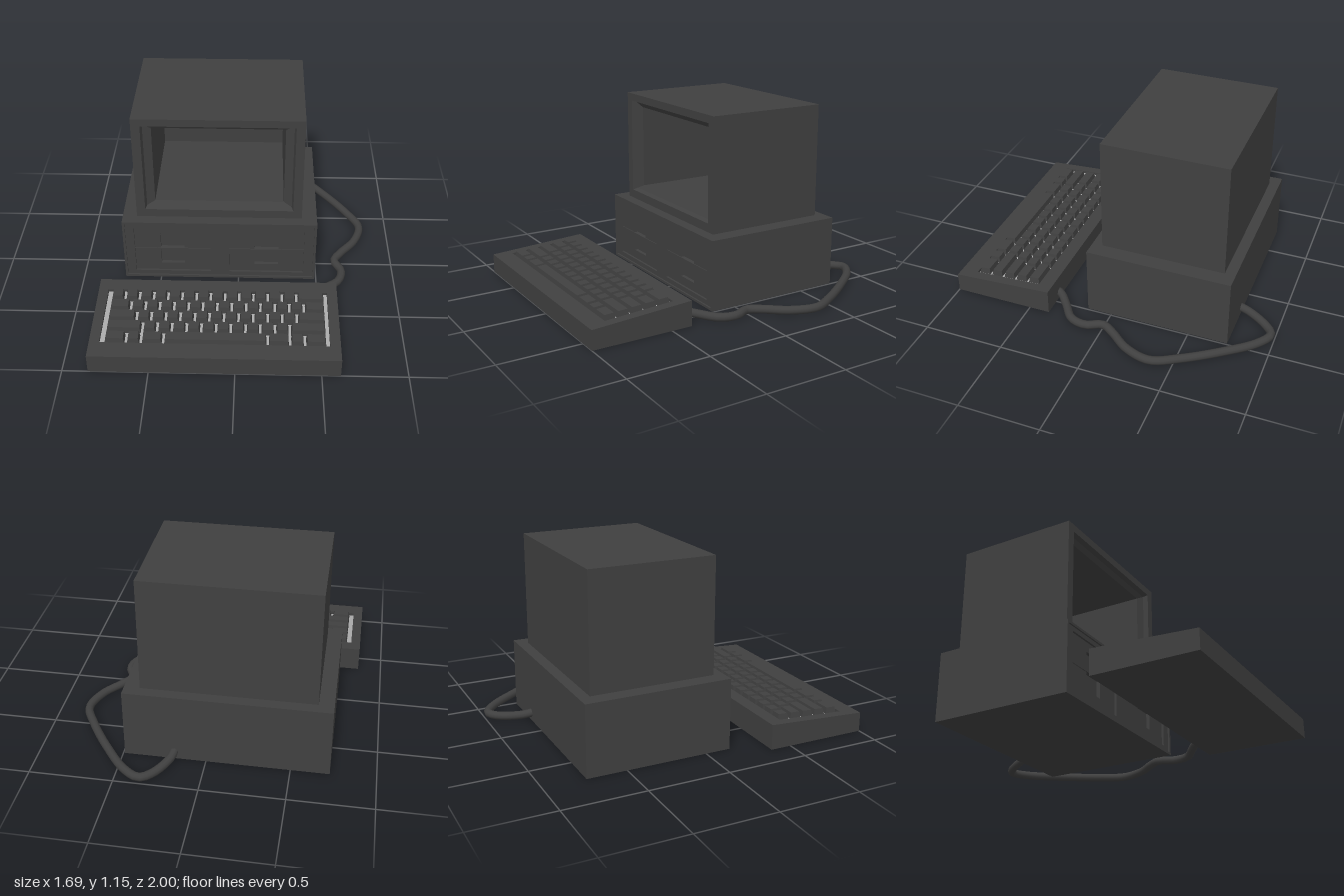
import * as THREE from 'three';

const dark = new THREE.MeshStandardMaterial({ color: 0x404040 });
const light = new THREE.MeshStandardMaterial({ color: 0xaaaaaa });

function add(parent, name, geometry, material = dark) {
  const mesh = new THREE.Mesh(geometry, material);
  mesh.name = name;
  parent.add(mesh);
  return mesh;
}

// Skins a series of four-cornered loops and caps both ends, with flat faces
function loft(loops) {
  const pos = [];
  const quad = (a, b, c, d) => pos.push(...a, ...b, ...c, ...a, ...c, ...d);
  quad(...[...loops[0]].reverse());
  for (let k = 0; k + 1 < loops.length; k++) {
    for (let i = 0; i < 4; i++) {
      const j = (i + 1) % 4;
      quad(loops[k][i], loops[k][j], loops[k + 1][j], loops[k + 1][i]);
    }
  }
  quad(...loops[loops.length - 1]);
  const g = new THREE.BufferGeometry();
  g.setAttribute('position', new THREE.Float32BufferAttribute(pos, 3));
  g.computeVertexNormals();
  return g;
}

// Upright loop facing +z
const wallLoop = (x0, x1, y0, y1, z) => [[x0, y0, z], [x1, y0, z], [x1, y1, z], [x0, y1, z]];

// Flat loop facing +y, with height given by a function of z
const floorLoop = (x0, x1, z0, z1, y) =>
  [[x0, y(z1), z1], [x1, y(z1), z1], [x1, y(z0), z0], [x0, y(z0), z0]];

const rect = (T, x0, x1, y0, y1) => new T([
  new THREE.Vector2(x0, y0), new THREE.Vector2(x1, y0),
  new THREE.Vector2(x1, y1), new THREE.Vector2(x0, y1)]);

// Rectangular plate with rectangular holes
function plate(outer, holes, z, depth) {
  const shape = rect(THREE.Shape, ...outer);
  holes.forEach(h => shape.holes.push(rect(THREE.Path, ...h)));
  return new THREE.ExtrudeGeometry(shape, { depth, bevelEnabled: false }).translate(0, 0, z);
}

function makeMonitor() {
  const g = new THREE.Group();
  g.name = 'monitor';
  // Outer shell, sloped bezel and deep hollow in one skin
  add(g, 'monitorShell', loft([
    wallLoop(-0.64, 0.395, 0.44, 1.148, -0.68),
    wallLoop(-0.64, 0.395, 0.44, 1.148, 0.09),
    wallLoop(-0.585, 0.34, 0.495, 1.1, 0.09),
    wallLoop(-0.575, 0.33, 0.505, 1.09, 0.06),
    wallLoop(-0.525, 0.28, 0.53, 1.06, 0.04),
    wallLoop(-0.525, 0.28, 0.53, 1.06, -0.65),
  ]));
  return g;
}

function makeComputer() {
  const g = new THREE.Group();
  g.name = 'computer';
  // Case with a thin raised rim round the front
  add(g, 'computerCase', loft([
    wallLoop(-0.73, 0.49, 0, 0.437, -0.745),
    wallLoop(-0.73, 0.49, 0, 0.437, 0.155),
    wallLoop(-0.715, 0.475, 0.015, 0.422, 0.155),
    wallLoop(-0.715, 0.475, 0.015, 0.422, 0.11),
  ]));
  const bays = [[-0.66, -0.18], [-0.06, 0.415]];
  add(g, 'faceplate', plate([-0.715, 0.475, 0.015, 0.422],
    bays.map(b => [...b, 0.045, 0.395]), 0.11, 0.035));
  // Disk drives: front with a finger notch, and a bar across the slot
  for (const [x0, x1] of bays) {
    const c = (x0 + x1) / 2;
    add(g, 'driveFront', plate([x0, x1, 0.045, 0.395],
      [[c - 0.075, c + 0.075, 0.1, 0.335]], 0.11, 0.022));
    add(g, 'driveBar', new THREE.BoxGeometry(x1 - x0, 0.014, 0.027))
      .position.set(c, 0.217, 0.1235);
  }
  return g;
}

function makeKeyboard() {
  const g = new THREE.Group();
  g.name = 'keyboard';
  const top = z => 0.12 + (1 - z) * 0.056;
  const raised = d => z => top(z) + d;
  // Wedge case with a sunken well
  add(g, 'keyboardCase', loft([
    floorLoop(-0.85, 0.61, 0.37, 1, () => 0),
    floorLoop(-0.85, 0.61, 0.37, 1, top),
    floorLoop(-0.79, 0.548, 0.458, 0.89, top),
    floorLoop(-0.79, 0.548, 0.458, 0.89, raised(-0.025)),
  ]));
  add(g, 'keyPlate', loft([
    floorLoop(-0.79, 0.548, 0.458, 0.89, raised(-0.024)),
    floorLoop(-0.79, 0.548, 0.458, 0.89, raised(-0.018)),
  ]), light);
  // Key widths per row in key units, back row first
  const ones = n => Array(n).fill(1);
  const rows = [
    [...ones(13), 2],
    [1.5, ...ones(12), 1.5],
    [2, ...ones(11), 2],
    [2.5, ...ones(10), 2.5],
    [1.5, 1, 1.5, 7, 1.5, 1, 1.5],
  ];
  const unit = 0.0868;
  rows.forEach((row, r) => {
    const z = 0.504 + r * 0.0862;
    let x = -0.768;
    for (const w of row) {
      const x0 = x + 0.007, x1 = x + w * unit - 0.007;
      add(g, 'key', loft([
        floorLoop(x0, x1, z - 0.036, z + 0.036, raised(-0.02)),
        floorLoop(x0 + 0.007, x1 - 0.007, z - 0.03, z + 0.028, raised(0.02)),
      ]));
      x += w * unit;
    }
  });
  return g;
}

export function createModel() {
  const model = new THREE.Group();
  model.name = 'desktopComputer';
  model.add(makeMonitor(), makeComputer(), makeKeyboard());

  // Cable lying on the desk from the back of the case to the keyboard
  const path = [
    [0.19, 0.05, -0.73], [0.2, 0.04, -0.79], [0.275, 0.027, -0.92], [0.35, 0.027, -0.975],
    [0.45, 0.027, -0.92], [0.6, 0.027, -0.74], [0.74, 0.027, -0.53], [0.815, 0.027, -0.37],
    [0.77, 0.027, -0.21], [0.67, 0.027, -0.08], [0.625, 0.027, 0], [0.665, 0.027, 0.1],
    [0.64, 0.027, 0.2], [0.54, 0.03, 0.28], [0.46, 0.04, 0.35], [0.44, 0.045, 0.39],
  ].map(p => new THREE.Vector3(...p));
  add(model, 'cable', new THREE.TubeGeometry(new THREE.CatmullRomCurve3(path), 60, 0.026, 10));
  return model;
}
